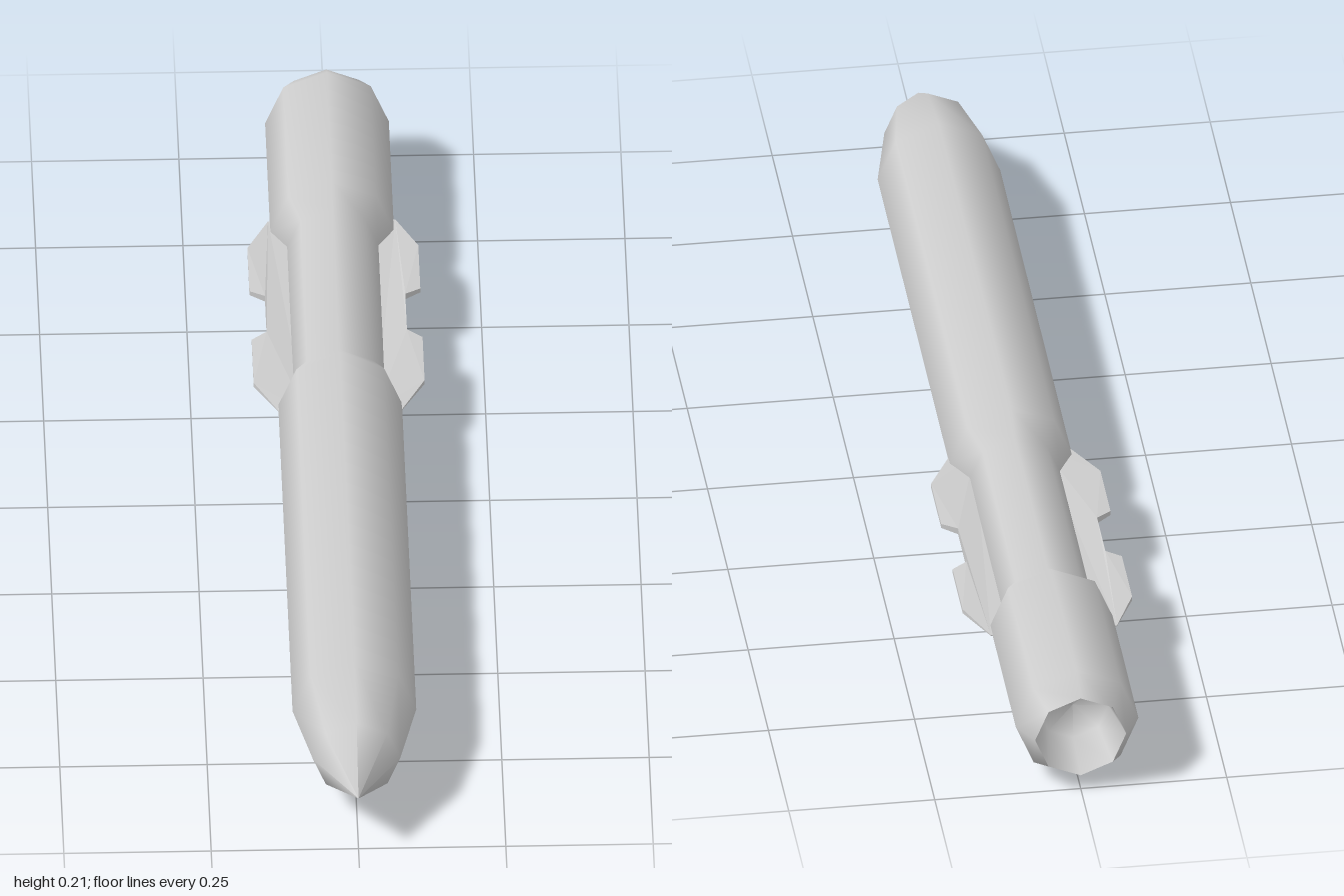
import * as THREE from 'three';

const R = 0.105;      // body radius, also height of the axis
const WAIST = 0.078;  // radius of the narrow section

const mat = new THREE.MeshStandardMaterial({ color: 0xcccccc });

// Eight-sided turned part along z; points are [radius, z] from back to front
function turned(name, points) {
  const geo = new THREE.LatheGeometry(points.map(([r, z]) => new THREE.Vector2(r, z)), 8);
  geo.rotateX(Math.PI / 2);
  const mesh = new THREE.Mesh(geo, mat);
  mesh.name = name;
  mesh.position.y = R;
  return mesh;
}

// Thin notched fin, thinner at the outer edge and pinched at both ends
function finGeometry() {
  const outline = [
    [0.06, -0.12], [0.104, -0.12], [0.145, -0.2], [0.145, -0.325], [0.119, -0.345],
    [0.119, -0.448], [0.145, -0.465], [0.145, -0.59], [0.108, -0.67], [0.06, -0.67],
  ];
  const shape = new THREE.Shape(outline.map(([x, z]) => new THREE.Vector2(x, -z)));
  const geo = new THREE.ExtrudeGeometry(shape, { depth: 1, bevelEnabled: false });
  geo.translate(0, 0, -0.5);
  geo.rotateX(-Math.PI / 2);
  const p = geo.attributes.position;
  for (let i = 0; i < p.count; i++) {
    const outward = THREE.MathUtils.clamp((p.getX(i) - 0.06) / 0.085, 0, 1);
    const end = Math.min(-0.12 - p.getZ(i), p.getZ(i) + 0.67);
    const pinch = THREE.MathUtils.clamp(end / 0.08, 0.15, 1);
    p.setY(i, Math.sign(p.getY(i)) * THREE.MathUtils.lerp(0.01, 0.004, outward) * pinch);
  }
  geo.computeVertexNormals();
  return geo;
}

export function createModel() {
  const model = new THREE.Group();
  model.name = 'missile';

  // Outer shell: tail, waist, main tube and pointed nose
  model.add(turned('body', [
    [WAIST, -1], [R, -0.955], [R, -0.64], [WAIST, -0.595], [WAIST, -0.19],
    [R, -0.14], [R, 0.745], [0.074, 0.885], [0, 1],
  ]));

  // Hollow exhaust at the back
  model.add(turned('exhaust', [[0, -0.9], [0.06, -0.91], [WAIST, -1]]));

  // One fin on each side
  const geo = finGeometry();
  for (const side of ['left', 'right']) {
    const fin = new THREE.Mesh(geo, mat);
    fin.name = side + 'Fin';
    fin.position.y = R;
    if (side === 'right') fin.rotation.z = Math.PI;
    model.add(fin);
  }
  return model;
}
